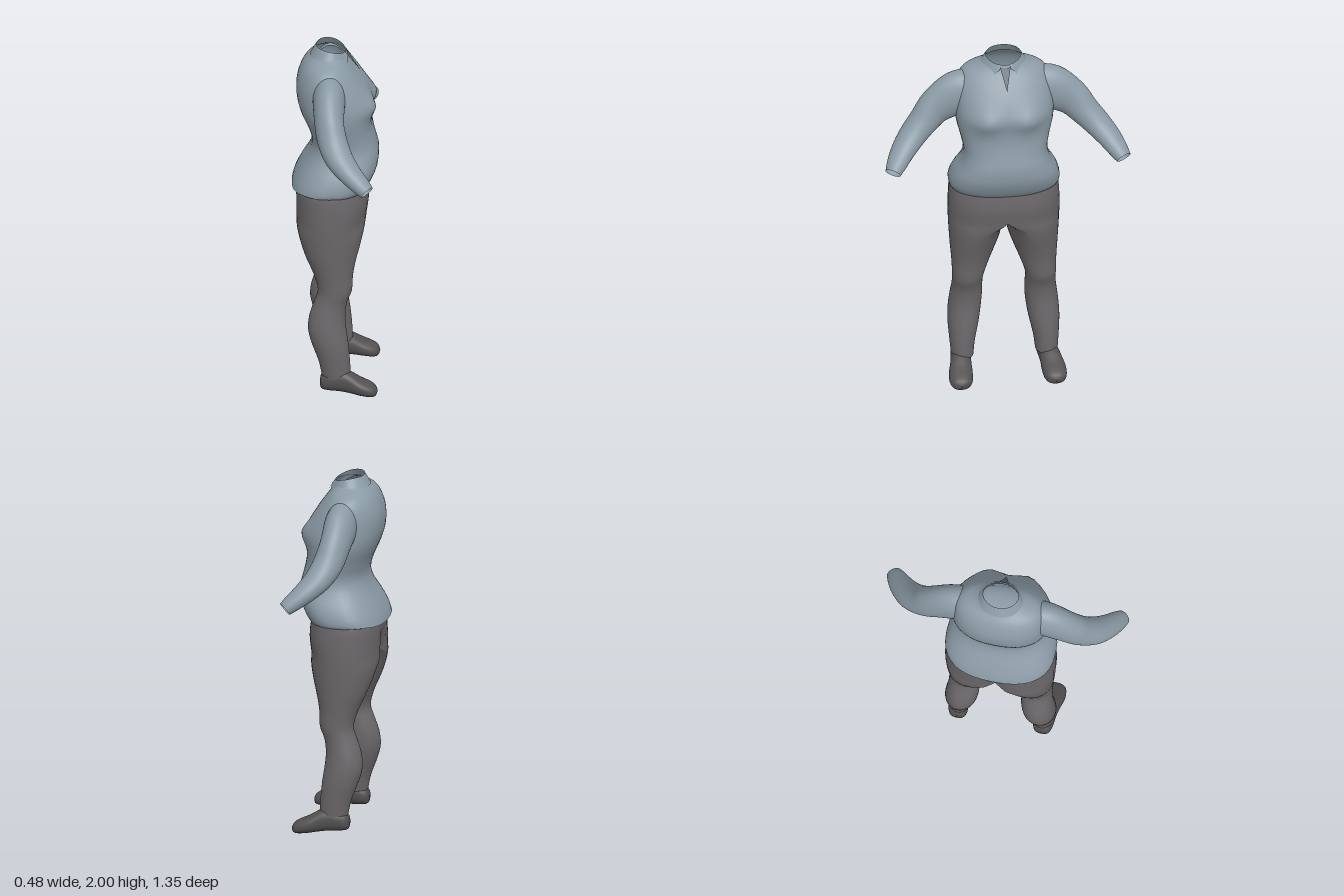
import * as THREE from 'three';
import { mergeGeometries, mergeVertices } from 'three/addons/utils/BufferGeometryUtils.js';

const N = 40; // points round each cross-section

// Smoothly resample a short table of cross-section values
function smooth(rows, steps) {
  const size = rows[0].length;
  const spline = new THREE.CubicInterpolant(rows.map((_, i) => i), rows.flat(), size, new Float32Array(size));
  const out = [];
  for (let i = 0; i <= (rows.length - 1) * steps; i++) out.push(Array.from(spline.evaluate(i / steps)));
  return out;
}

// Skin a stack of closed rings; skip(i, j) leaves a face out
function loft(rings, skip = () => false) {
  const index = [];
  for (let i = 0; i < rings.length - 1; i++) {
    for (let j = 0; j < N; j++) {
      if (skip(i, j)) continue;
      const k = (j + 1) % N;
      const a = i * N + j, b = i * N + k, c = (i + 1) * N + k, d = (i + 1) * N + j;
      index.push(a, b, c, a, c, d);
    }
  }
  const g = new THREE.BufferGeometry();
  g.setAttribute('position', new THREE.Float32BufferAttribute(rings.flat(2), 3));
  g.setIndex(index);
  g.computeVertexNormals();
  return g;
}

// Unit superellipse point; n = 2 is round, larger is squarer
function unit(j, n) {
  const a = (j / N) * Math.PI * 2;
  const p = (v) => (Math.abs(v) < 1e-9 ? 0 : Math.sign(v) * Math.abs(v) ** (2 / n));
  return [p(Math.sin(a)), p(Math.cos(a))];
}
const ring = (f) => Array.from({ length: N }, (_, j) => f(j));

// Shirt body: y, back x, front x, half width, squareness
function bodyGeometry() {
  const rows = smooth([
    [1.18, -0.24, 0.165, 0.298, 2.5], [1.23, -0.225, 0.2, 0.305, 2.5], [1.3, -0.19, 0.23, 0.287, 2.5],
    [1.38, -0.145, 0.236, 0.245, 2.5], [1.45, -0.13, 0.22, 0.23, 2.4], [1.53, -0.15, 0.202, 0.245, 2.4],
    [1.61, -0.185, 0.198, 0.265, 2.4], [1.68, -0.207, 0.202, 0.27, 2.4], [1.75, -0.215, 0.18, 0.268, 2.3],
    [1.81, -0.21, 0.147, 0.262, 2.2], [1.87, -0.19, 0.105, 0.245, 2.1], [1.91, -0.165, 0.075, 0.21, 2],
    [1.935, -0.14, 0.06, 0.15, 2], [1.96, -0.118, 0.05, 0.105, 2],
  ], 3);
  return loft(rows.map(([y, back, front, half, n], i) => ring((j) => {
    const [s, c] = unit(j, n);
    const z = half * c;
    let x = (back + front) / 2 + ((front - back) / 2) * s;
    // bust, and a hem that lifts at the sides
    if (s > 0) x += 0.032 * s * Math.exp(-(((Math.abs(z) - 0.12) / 0.075) ** 2) - ((y - 1.675) / 0.065) ** 2);
    return [x, y + (i === 0 ? 0.025 * c * c : 0), z];
  })));
}

// Sleeve: centre x, y, z, then horizontal and vertical radius
function sleeveGeometry() {
  const rows = smooth([
    [-0.03, 1.775, 0.17, 0.09, 0.125], [-0.03, 1.755, 0.26, 0.088, 0.13], [-0.025, 1.685, 0.37, 0.08, 0.105],
    [-0.005, 1.61, 0.44, 0.08, 0.085], [0.035, 1.54, 0.51, 0.078, 0.07], [0.095, 1.48, 0.57, 0.068, 0.057],
    [0.155, 1.43, 0.613, 0.055, 0.047], [0.188, 1.402, 0.635, 0.044, 0.038],
  ], 4);
  const at = (i) => new THREE.Vector3(...rows[Math.min(Math.max(i, 0), rows.length - 1)].slice(0, 3));
  return loft(rows.map((r, i) => {
    const dir = at(i + 1).sub(at(i - 1)).normalize();
    const u = new THREE.Vector3(0, 1, 0).cross(dir).normalize();
    const v = u.clone().cross(dir);
    return ring((j) => {
      const [s, c] = unit(j, 2);
      return at(i).addScaledVector(u, s * r[3]).addScaledVector(v, c * r[4]).toArray();
    });
  }));
}

// Trousers: y, back x, front x, inner z, outer z, and how far the two legs join
function trouserGeometry() {
  const rows = smooth([
    [0.115, -0.07, 0.088, 0.17, 0.293], [0.2, -0.088, 0.084, 0.16, 0.3], [0.3, -0.125, 0.075, 0.138, 0.307],
    [0.38, -0.145, 0.064, 0.125, 0.304], [0.46, -0.138, 0.058, 0.118, 0.295], [0.54, -0.112, 0.068, 0.118, 0.285],
    [0.61, -0.092, 0.094, 0.115, 0.285], [0.7, -0.115, 0.1, 0.085, 0.288], [0.79, -0.155, 0.118, 0.05, 0.295],
    [0.87, -0.185, 0.14, 0.025, 0.3, 0.08], [0.95, -0.208, 0.16, 0.012, 0.304, 0.35],
    [1.015, -0.218, 0.172, 0.005, 0.306, 1], [1.1, -0.218, 0.182, 0, 0.305, 1],
    [1.18, -0.214, 0.174, 0, 0.3, 1], [1.24, -0.19, 0.165, 0, 0.285, 1],
  ].map((r) => (r.length < 6 ? [...r, 0] : r)), 3);
  const join = rows.map((r) => THREE.MathUtils.clamp(r[5], 0, 1));
  const leg = loft(rows.map(([y, back, front, inner, outer], i) => ring((j) => {
    const [s, c] = unit(j, 2 + 0.35 * join[i]);
    const round = (inner + outer) / 2 + ((outer - inner) / 2) * c;
    const z = THREE.MathUtils.lerp(round, Math.max(c, 0) * outer, join[i]);
    const cleft = s < 0 ? -0.035 * s * join[i] * Math.exp(-((z / 0.05) ** 2)) * (1 - THREE.MathUtils.smoothstep(y, 1.02, 1.17)) : 0;
    return [(back + front) / 2 + ((front - back) / 2) * s + cleft, y, z];
  })), (i, j) => join[i] > 0.999 && join[i + 1] > 0.999 && j >= N / 4 && j < (3 * N) / 4);
  leg.deleteAttribute('normal');
  // mirror the other leg and weld along the middle
  const other = leg.clone().scale(1, 1, -1);
  other.setIndex(Array.from(leg.index.array).reverse());
  const both = mergeVertices(mergeGeometries([leg, other]), 1e-4);
  both.computeVertexNormals();
  return both;
}

// Shoe: x, sole y, top y, centre z, half width
function shoeGeometry() {
  const rows = smooth([
    [-0.08, 0.07, 0.076, 0.235, 0.003], [-0.073, 0.037, 0.11, 0.235, 0.036], [-0.04, 0.027, 0.135, 0.236, 0.053],
    [0.03, 0.023, 0.15, 0.242, 0.056], [0.08, 0.017, 0.138, 0.248, 0.059], [0.14, 0.008, 0.103, 0.256, 0.066],
    [0.195, 0.002, 0.077, 0.259, 0.061], [0.224, 0.006, 0.058, 0.26, 0.042], [0.236, 0.028, 0.034, 0.26, 0.003],
  ], 3);
  return loft(rows.map(([x, low, high, zc, half]) => ring((j) => {
    const [s, c] = unit(j, 2.3);
    return [x, (low + high) / 2 - ((high - low) / 2) * c, zc - half * s];
  })));
}

// Folded collar: a strip round the neck, ending in two points
function collarGeometry() {
  const steps = 40, pos = [], index = [];
  for (let i = 0; i <= steps; i++) {
    const t = (i / steps) * 2 - 1;
    const a = t * 2.9;
    const ahead = (1 - Math.cos(a)) / 2;
    const tip = THREE.MathUtils.smoothstep(Math.abs(t), 0.55, 0.86) * (1 - THREE.MathUtils.smoothstep(Math.abs(t), 0.86, 1));
    pos.push(-0.026 - 0.08 * Math.cos(a), 2 - 0.035 * ahead * ahead, 0.097 * Math.sin(a));
    pos.push(-0.033 - 0.105 * Math.cos(a) + 0.014 * tip, 1.943 - 0.045 * tip, 0.128 * Math.sin(a));
    if (i < steps) index.push(2 * i, 2 * i + 2, 2 * i + 1, 2 * i + 1, 2 * i + 2, 2 * i + 3);
  }
  const g = new THREE.BufferGeometry();
  g.setAttribute('position', new THREE.Float32BufferAttribute(pos, 3));
  g.setIndex(index);
  g.computeVertexNormals();
  return g;
}

// Open neck placket: a thin V lying on the chest
function placketGeometry() {
  const g = new THREE.BufferGeometry();
  g.setAttribute('position', new THREE.Float32BufferAttribute([
    0.062, 1.95, 0.028, 0.138, 1.84, 0, 0.062, 1.95, -0.028], 3));
  g.setIndex([0, 1, 2]);
  g.computeVertexNormals();
  if (g.attributes.normal.getX(0) < 0) { g.setIndex([0, 2, 1]); g.computeVertexNormals(); }
  return g;
}

export function createModel() {
  const material = (name, color) => {
    const m = new THREE.MeshStandardMaterial({ color, side: THREE.DoubleSide });
    m.name = name;
    return m;
  };
  const shirt = material('blue grey shirt', 0x8b9ba6);
  const trousers = material('grey trousers', 0x6b676a);
  const shoes = material('dark shoes', 0x525051);
  const shade = material('neck opening', 0x5d6871);

  const model = new THREE.Group();
  model.name = 'clothedFigure';
  const add = (name, geometry, mat, side = 1) => {
    const mesh = new THREE.Mesh(geometry, mat);
    mesh.name = name;
    mesh.scale.z = side;
    model.add(mesh);
  };
  add('shirtBody', bodyGeometry(), shirt);
  add('collar', collarGeometry(), shirt);
  add('placket', placketGeometry(), shade);
  add('trousers', trouserGeometry(), trousers);
  const sleeve = sleeveGeometry(), shoe = shoeGeometry();
  for (const side of [1, -1]) {
    const end = side > 0 ? 'Near' : 'Far';
    add('sleeve' + end, sleeve, shirt, side);
    add('shoe' + end, shoe, shoes, side);
  }
  return model;
}
